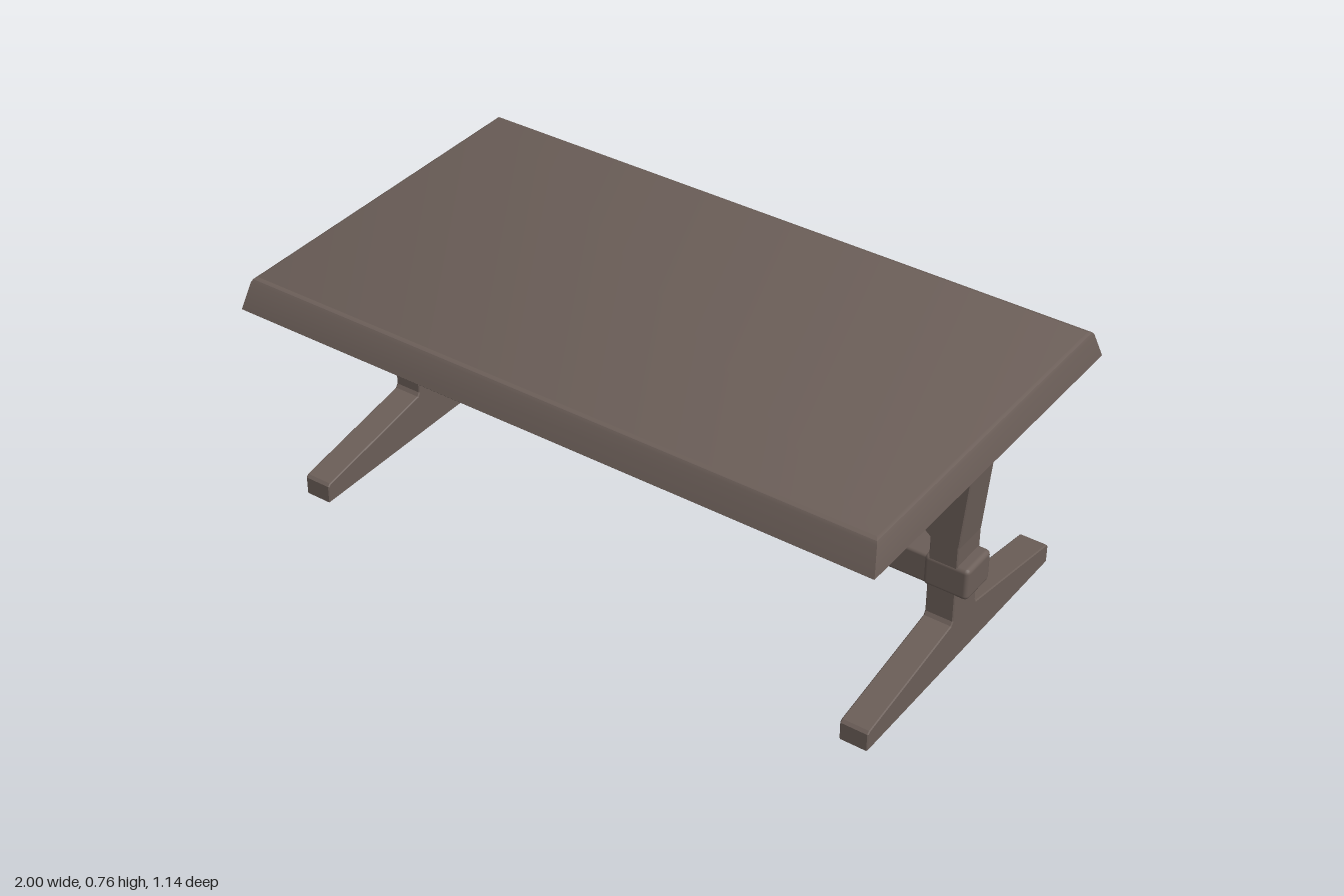
import * as THREE from 'three';
import { toCreasedNormals } from 'three/addons/utils/BufferGeometryUtils.js';
import { RoundedBoxGeometry } from 'three/addons/geometries/RoundedBoxGeometry.js';

const wood = new THREE.MeshStandardMaterial({ color: 0x6b5e58 });
const LEG_Z = -0.02;   // the trestle sits slightly behind the centre
const LEG_X = 0.897;

function part(name, geometry, parent) {
  const mesh = new THREE.Mesh(geometry, wood);
  mesh.name = name;
  parent.add(mesh);
  return mesh;
}

// Stacked rectangles [y, x0, x1, halfDepth], from bottom to top
function loft(rings) {
  const pos = [], idx = [];
  for (const [y, x0, x1, hz] of rings) {
    pos.push(x1, y, hz, x1, y, -hz, x0, y, -hz, x0, y, hz);
  }
  for (let i = 0; i < rings.length - 1; i++) {
    for (let j = 0; j < 4; j++) {
      const a = i * 4 + j, b = i * 4 + (j + 1) % 4;
      idx.push(a, b, b + 4, a, b + 4, a + 4);
    }
  }
  const t = (rings.length - 1) * 4;
  idx.push(0, 2, 1, 0, 3, 2, t, t + 1, t + 2, t, t + 2, t + 3);
  const g = new THREE.BufferGeometry();
  g.setAttribute('position', new THREE.Float32BufferAttribute(pos, 3));
  g.setIndex(idx);
  return toCreasedNormals(g, 0.5);
}

// Flat profile extruded to a depth, centred, with small chamfers
function slab(points, depth, bevel) {
  const shape = new THREE.Shape(points.map(([x, y]) => new THREE.Vector2(x, y)));
  const g = new THREE.ExtrudeGeometry(shape, {
    depth: depth - 2 * bevel, bevelEnabled: true, bevelSegments: 1,
    bevelSize: bevel, bevelOffset: -bevel, bevelThickness: bevel,
  });
  g.translate(0, 0, -depth / 2 + bevel);
  return g;
}

export function createModel() {
  const table = new THREE.Group();
  table.name = 'trestleTable';

  // Top with sloping edges
  part('tableTop', loft([
    [0.665, -0.992, 0.992, 0.564],
    [0.671, -1, 1, 0.57],
    [0.748, -0.985, 0.985, 0.541],
    [0.756, -0.981, 0.981, 0.535],
    [0.76, -0.973, 0.973, 0.524],
  ]), table);

  // Foot and post profile, mirrored front to back
  const half = [[0.47, 0], [0.47, 0.055], [0.462, 0.063], [0.065, 0.134],
    [0.058, 0.145], [0.058, 0.4]];
  const trestle = [...half, ...half.map(([z, y]) => [-z, y]).reverse()];

  for (const side of [-1, 1]) {
    const leg = new THREE.Group();
    leg.name = side > 0 ? 'leftTrestle' : 'rightTrestle';
    leg.position.z = LEG_Z;
    table.add(leg);

    const foot = slab(trestle, 0.085, 0.003);
    foot.rotateY(-Math.PI / 2);
    part('footAndPost', foot, leg).position.x = side * LEG_X;

    // Upper post widening into an inward brace
    const brace = [[0.94, 0.385], [0.965, 0.665], [0.65, 0.665], [0.673, 0.535], [0.855, 0.388]];
    part('brace', slab(brace.map(([x, y]) => [side * x, y]), 0.116, 0.003), leg);

    // Flared pad under the top
    const [x0, x1] = side > 0 ? [0.65, 0.963] : [-0.963, -0.65];
    part('topPad', loft([
      [0.655, x0, x1, 0.058],
      [0.668, x0 - 0.006, x1 + 0.006, 0.068],
    ]), leg);

    // Stretcher end passing through the post
    const tenon = part('stretcherEnd', new RoundedBoxGeometry(0.135, 0.1, 0.12, 2, 0.014), leg);
    tenon.position.set(side * 0.9075, 0.278, 0);
  }

  const stretcher = part('stretcher', new RoundedBoxGeometry(1.76, 0.094, 0.112, 2, 0.01), table);
  stretcher.position.set(0, 0.278, LEG_Z);

  return table;
}
